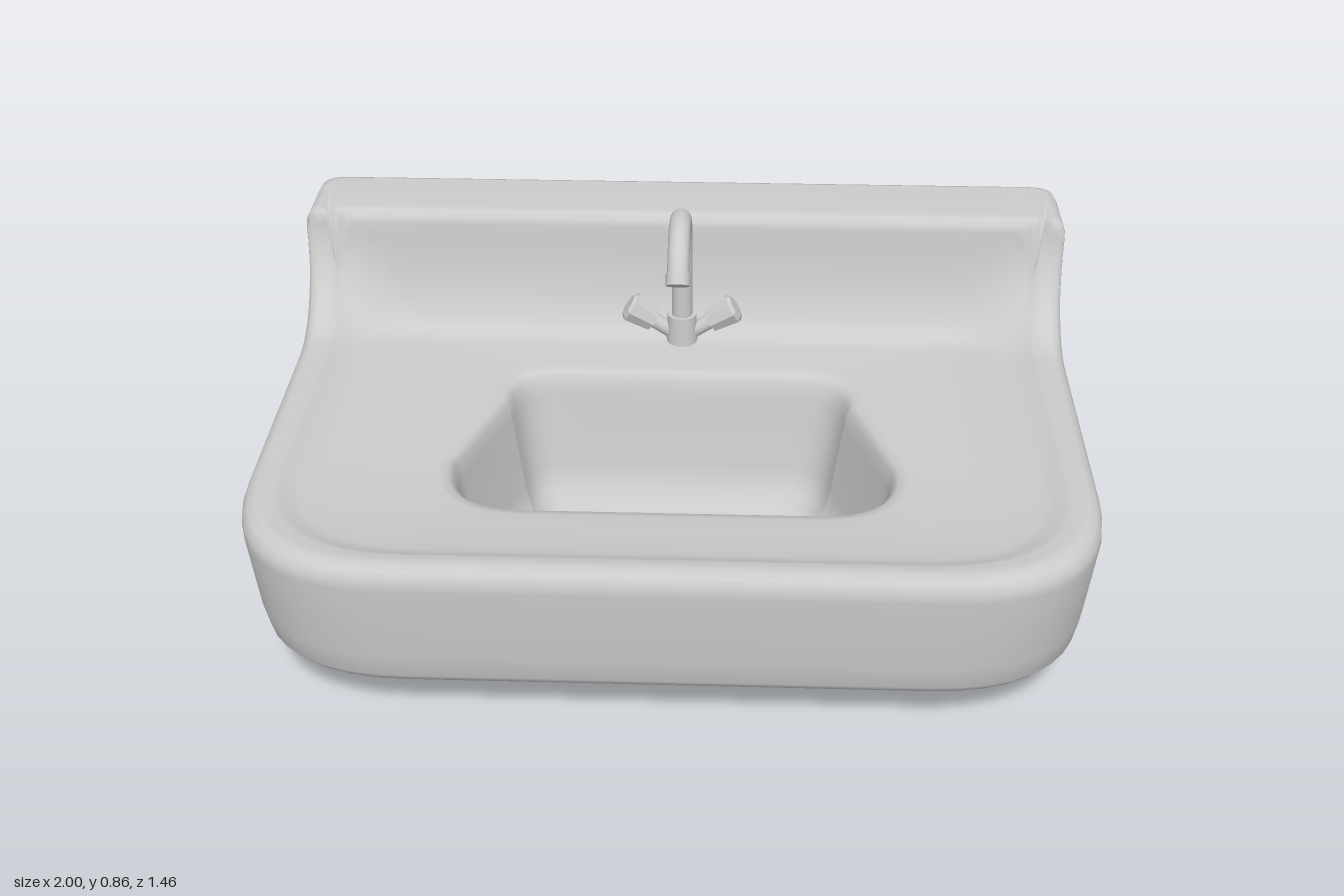
import * as THREE from 'three';

const { lerp, clamp, smoothstep, degToRad } = THREE.MathUtils;
const material = new THREE.MeshStandardMaterial({ color: 0xcccccc });

// One closed plan outline: front edge, round corner, side, back corner, back edge, then mirrored.
// zf/zb: front and back; xs/xb: half width at front and back; fr/br: corner sizes.
function outline({ zf, zb, xs, xb, fr, br }) {
  const half = [];
  const zFront = zf - fr, zBack = zb + br;
  const zFoot = Math.max(-0.49, zBack + 0.01); // foot of the splashback on the side
  const zMid = lerp(zFront, zFoot, 0.62);
  const sideX = z => lerp(xs, xb, (zFront - z) / (zFront - zBack));
  const add = (n, f) => { for (let i = 0; i < n; i++) half.push(f(i / n)); };
  const bend = (p, c, q) => t => [0, 1].map(k =>
    (1 - t) * (1 - t) * p[k] + 2 * t * (1 - t) * c[k] + t * t * q[k]);
  const along = (z0, z1, ease = t => t) => t => {
    const z = lerp(z0, z1, ease(t));
    return [sideX(z), z];
  };
  add(8, t => [t * (xs - fr), zf]);
  add(10, bend([xs - fr, zf], [xs, zf], [xs, zFront]));
  add(8, along(zFront, zMid));
  add(14, along(zMid, zFoot, t => Math.sin(t * Math.PI / 2)));
  add(4, along(zFoot, zBack));
  add(6, bend([xb, zBack], [xb, zb], [xb - br, zb]));
  add(8, t => [(1 - t) * (xb - br), zb]);
  half.push([0, zb]);
  const mirrored = half.slice(1, -1).reverse().map(([x, z]) => [-x, z]);
  return half.concat(mirrored);
}

// Raises level y to the splashback crown by a quarter-ellipse cove, wider towards the ends.
function cove(x, z, y, crown) {
  const start = lerp(-0.39, -0.25, smoothstep(Math.abs(x), 0.72, 0.97));
  const t = clamp((start - z) / (start + 0.49), 0, 1);
  return lerp(y, crown, 1 - Math.sqrt(1 - t * t));
}

// Joins the outlines into one smooth closed skin.
function loft(rings) {
  const position = [], index = [];
  const loops = rings.map(outline);
  const n = loops[0].length;
  loops.forEach((loop, i) => {
    const { y, crown = y } = rings[i];
    for (const [x, z] of loop) position.push(x, cove(x, z, y, crown), z);
  });
  for (let i = 0; i < rings.length - 1; i++) {
    for (let j = 0; j < n; j++) {
      const a = i * n + j, b = i * n + (j + 1) % n;
      index.push(a, b, b + n, a, b + n, a + n);
    }
  }
  const g = new THREE.BufferGeometry();
  g.setAttribute('position', new THREE.Float32BufferAttribute(position, 3));
  g.setIndex(index);
  g.computeVertexNormals();
  return g;
}

// Bowl outline at height y, grown by d from the opening.
const bowl = ([y, d]) => ({
  y, zf: 0.385 + d, zb: -0.225 - d, xs: 0.52 + d, xb: 0.425 + d, fr: 0.19 + d * 0.5, br: 0.13 + d * 0.4,
});

// A point-like outline that closes the skin at height y.
const cap = y => ({ y, zf: 0.09, zb: 0.07, xs: 0.01, xb: 0.01, fr: 0.004, br: 0.004 });

// Outer wall at height y, shrunk by d; with a crown it follows the splashback.
const wall = ([y, d, crown]) => ({
  y, crown, zf: 0.73 - d, zb: -0.728 + d, xs: 0.985 - d, xb: 0.998 - d, fr: 0.38 - d * 0.4, br: 0.06,
});

// Rounded front edge of the splashback, t from its flat top to its face.
function crownEdge(t) {
  const a = t * Math.PI / 2, x = lerp(0.94, 0.905, t);
  return {
    y: lerp(0.463, 0.457, t), crown: 0.705 + 0.035 * Math.cos(a),
    zf: lerp(0.68, 0.65, t), zb: -0.53 + 0.04 * Math.sin(a), xs: x, xb: x, fr: 0.34, br: 0.03,
  };
}

// Splashback face, cove and sloping deck, t running inwards to the bowl.
function deck(t) {
  return {
    y: lerp(0.457, 0.418, Math.sqrt(t)), crown: 0.72,
    zf: lerp(0.65, 0.46, t), zb: lerp(-0.49, -0.33, t * t),
    xs: lerp(0.905, 0.7, t), xb: lerp(0.905, 0.66, t), fr: lerp(0.33, 0.25, t), br: lerp(0.03, 0.1, t),
  };
}

const steps = (n, f) => Array.from({ length: n + 1 }, (_, i) => f(i / n));

function basinRings() {
  const underside = [[0, -0.11], [0.005, -0.08], [0.025, -0.05], [0.09, -0.015], [0.115, 0.015], [0.13, 0.06]];
  const walls = [[0.133, 0.11], [0.134, 0.06], [0.14, 0.04], [0.16, 0.027], [0.22, 0.017], [0.32, 0.008],
    [0.41, 0, 0.69], [0.435, 0.002, 0.715], [0.455, 0.013, 0.735], [0.463, 0.03, 0.74]];
  const inside = [[0.414, 0.04], [0.408, 0.017], [0.39, 0.003], [0.35, -0.004], [0.16, -0.032],
    [0.09, -0.05], [0.06, -0.09], [0.05, -0.15]];
  return [
    cap(0), ...underside.map(bowl), ...walls.map(wall),
    ...steps(3, crownEdge), ...steps(9, deck).slice(1),
    ...inside.map(bowl), cap(0.045),
  ];
}

// Swan-neck path: straight riser, then an arc towards the bowl.
function spoutCurve() {
  const arc = steps(20, t => {
    const a = Math.PI - t * degToRad(149);
    return new THREE.Vector3(0, 0.67 + 0.163 * Math.sin(a), -0.235 + 0.163 * Math.cos(a));
  });
  const path = new THREE.CurvePath();
  path.add(new THREE.LineCurve3(new THREE.Vector3(0, 0.41, -0.398), arc[0]));
  path.add(new THREE.CatmullRomCurve3(arc));
  return path;
}

export function createModel() {
  const model = new THREE.Group();
  model.name = 'washbasin';
  const part = (name, geometry, parent, mat = material) => {
    const mesh = new THREE.Mesh(geometry, mat);
    mesh.name = name;
    parent.add(mesh);
    return mesh;
  };

  part('basin', loft(basinRings()), model);

  // Tap
  const tap = new THREE.Group();
  tap.name = 'tap';
  model.add(tap);
  const curve = spoutCurve();
  part('spout', new THREE.TubeGeometry(curve, 60, 0.027, 16), tap);
  const nozzle = part('nozzle', new THREE.CylinderGeometry(0.03, 0.03, 0.03, 16), tap);
  nozzle.position.copy(curve.getPointAt(1));
  nozzle.quaternion.setFromUnitVectors(new THREE.Vector3(0, 1, 0), curve.getTangentAt(1));
  part('tapBase', new THREE.CylinderGeometry(0.038, 0.042, 0.1, 20), tap).position.set(0, 0.45, -0.4);

  // Angled handles on both sides
  const faceted = material.clone();
  faceted.flatShading = true;
  for (const s of [1, -1]) {
    const handle = new THREE.Group();
    handle.name = s > 0 ? 'leftHandle' : 'rightHandle';
    handle.position.set(0, 0.43, -0.4);
    handle.rotation.z = -s * degToRad(57);
    tap.add(handle);
    part('stem', new THREE.CylinderGeometry(0.02, 0.02, 0.1, 12), handle).position.y = 0.05;
    part('knob', new THREE.CylinderGeometry(0.042, 0.032, 0.07, 8), handle, faceted).position.y = 0.125;
    part('knobCap', new THREE.CylinderGeometry(0.03, 0.04, 0.01, 8), handle, faceted).position.y = 0.164;
  }
  return model;
}
